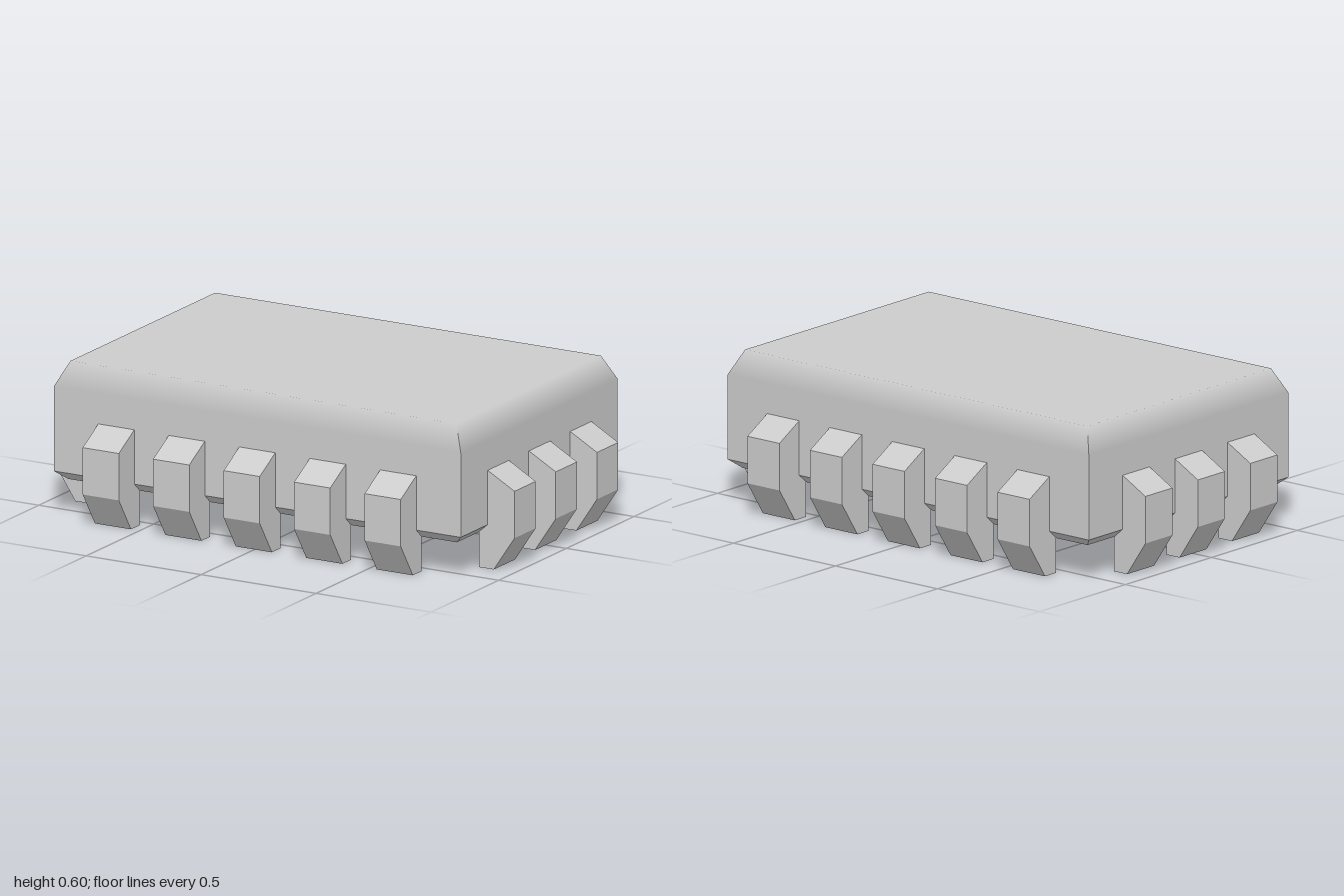
import * as THREE from 'three';

const HALF_X = 0.885, HALF_Z = 0.58, PIN_WIDTH = 0.157;

const material = new THREE.MeshStandardMaterial({ color: 0xcccccc });

// Corners of a rectangular ring, counter-clockwise seen from above, starting front-left
function ring(inset, y) {
  const x = HALF_X - inset, z = HALF_Z - inset;
  return [[x, y, z], [x, y, -z], [-x, y, -z], [-x, y, z]];
}

// Package body: stacked rings, with smooth shading only over the top bevel
function bodyGeometry() {
  const positions = [], normals = [];
  const up = [0, 1, 0], down = [0, -1, 0];
  const quad = (a, b, c, d, lowNormal, highNormal) => {
    positions.push(...a, ...b, ...c, ...a, ...c, ...d);
    normals.push(...lowNormal, ...lowNormal, ...highNormal, ...lowNormal, ...highNormal, ...highNormal);
  };
  const base = ring(0.04, 0.135), waist = ring(0, 0.17), shoulder = ring(0, 0.5), top = ring(0.046, 0.595);
  const sides = [[1, 0, 0], [0, 0, -1], [-1, 0, 0], [0, 0, 1]];
  sides.forEach((side, i) => {
    const j = (i + 1) % 4;
    const under = new THREE.Vector3(side[0] * 0.035, -0.04, side[2] * 0.035).normalize().toArray();
    quad(base[i], base[j], waist[j], waist[i], under, under);
    quad(waist[i], waist[j], shoulder[j], shoulder[i], side, side);
    quad(shoulder[i], shoulder[j], top[j], top[i], side, up);
  });
  quad(...top, up, up);
  quad(...base.reverse(), down, down);
  const geometry = new THREE.BufferGeometry();
  geometry.setAttribute('position', new THREE.Float32BufferAttribute(positions, 3));
  geometry.setAttribute('normal', new THREE.Float32BufferAttribute(normals, 3));
  return geometry;
}

// Bent pin, its profile measured outward (+x) from the body wall
function pinGeometry() {
  const profile = [
    [-0.04, 0], [0.025, 0], [0.115, 0.135], [0.115, 0.318],
    [0, 0.382], [-0.01, 0.382], [-0.01, 0.165], [-0.04, 0.138],
  ];
  const shape = new THREE.Shape(profile.map(([x, y]) => new THREE.Vector2(x, y)));
  const geometry = new THREE.ExtrudeGeometry(shape, { depth: PIN_WIDTH, bevelEnabled: false });
  return geometry.translate(0, 0, -PIN_WIDTH / 2);
}

export function createModel() {
  const model = new THREE.Group();
  model.name = 'chip';

  const body = new THREE.Mesh(bodyGeometry(), material);
  body.name = 'body';
  body.position.x = -0.003;
  model.add(body);

  const geometry = pinGeometry();
  const addPin = (name, x, z, turn) => {
    const pin = new THREE.Mesh(geometry, material);
    pin.name = name;
    pin.position.set(x, 0, z);
    pin.rotation.y = turn;
    model.add(pin);
  };

  // Five pins along the front and back
  for (let i = -2; i <= 2; i++) {
    const x = i * 0.3065 - 0.003;
    addPin('frontPin', x, HALF_Z, -Math.PI / 2);
    addPin('backPin', x, -HALF_Z, Math.PI / 2);
  }
  // Three pins along each end
  for (let i = -1; i <= 1; i++) {
    const z = i * 0.305;
    addPin('leftPin', HALF_X, z, 0);
    addPin('rightPin', -HALF_X, z, Math.PI);
  }
  return model;
}
